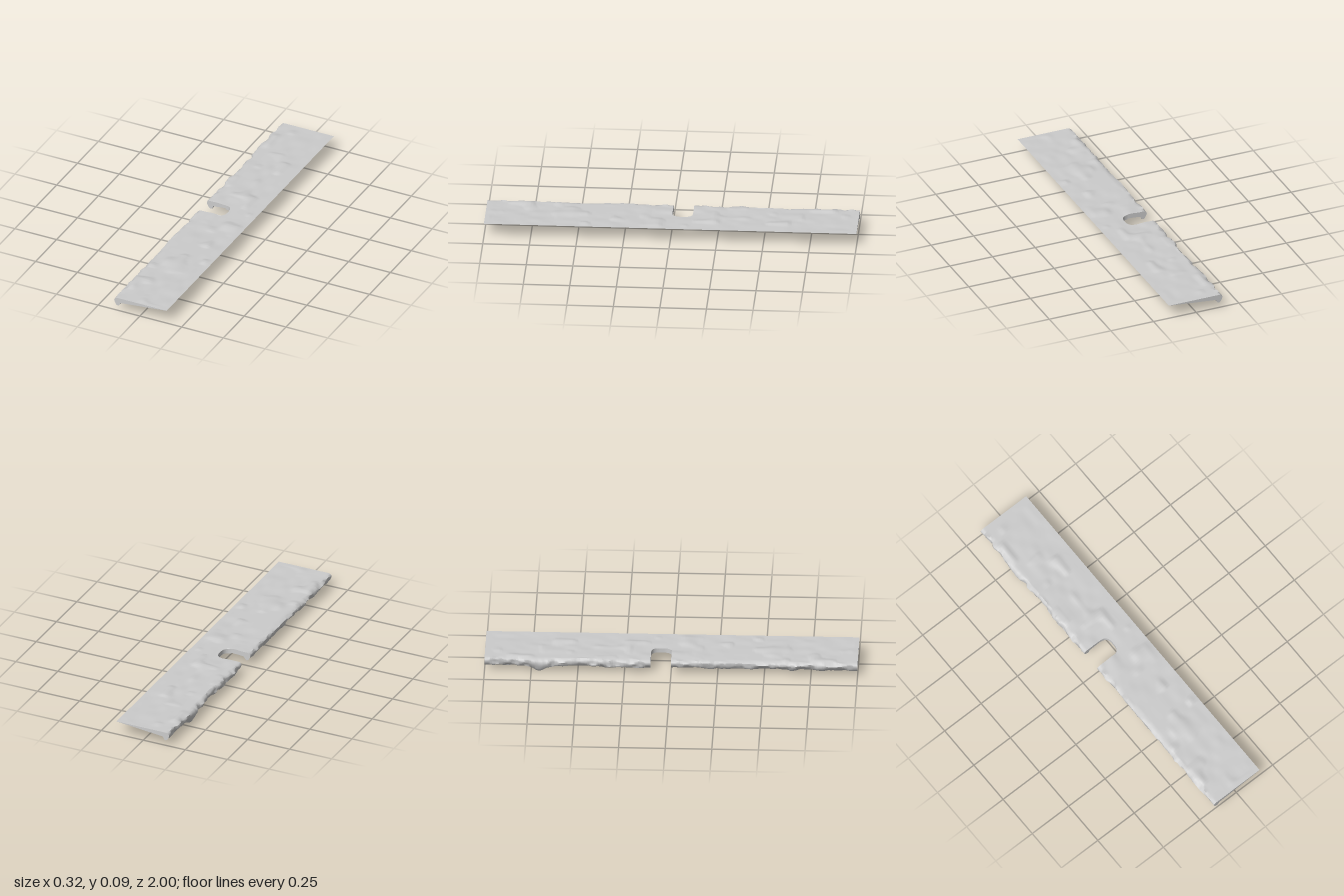
import * as THREE from 'three';
import { toCreasedNormals } from 'three/addons/utils/BufferGeometryUtils.js';

// Smooth repeatable value noise in 2D, range -1..1
const hash = (i, j) => {
  const s = Math.sin(i * 127.1 + j * 311.7) * 43758.5453;
  return (s - Math.floor(s)) * 2 - 1;
};
const ease = t => t * t * (3 - 2 * t);
function noise(x, y) {
  const i = Math.floor(x), j = Math.floor(y), u = ease(x - i), v = ease(y - j);
  const mix = THREE.MathUtils.lerp;
  return mix(mix(hash(i, j), hash(i + 1, j), u), mix(hash(i, j + 1), hash(i + 1, j + 1), u), v);
}

const EDGE = 0.16, TOP = 0.08, NOTCH_BACK = -0.11, NOTCH_FRONT = 0;
const bottomAt = x => 0.053 + (x + 0.115) / (EDGE + 0.115) * (TOP - 0.053);
const fade = z => THREE.MathUtils.smoothstep(1 - Math.abs(z), 0, 0.06);

// Worn upper face: mostly level, with scattered raised lumps
function topAt(x, z) {
  const side = THREE.MathUtils.smoothstep(EDGE - x, 0, 0.05);
  const lumps = Math.max(0, noise(x * 17 + 5, z * 13) - 0.35) * 0.013;
  return TOP + fade(z) * side * (lumps + 0.0022 * noise(x * 22, z * 15 + 9));
}

// Inner edge of the rounded notch at depth z
function notchEdge(z) {
  const mid = (NOTCH_BACK + NOTCH_FRONT) / 2, half = (NOTCH_FRONT - NOTCH_BACK) / 2;
  const t = Math.min(1, Math.abs(z - mid) / half);
  return -0.042 + 0.042 * Math.pow(1 - t ** 3, 1 / 2.2);
}

// Hooked section: upper face, rough drooping lip, sloping underside
const LIP = [[-0.142, 0.079], [-0.151, 0.073], [-0.154, 0.064], [-0.151, 0.054], [-0.147, 0.045],
  [-0.141, 0.037], [-0.132, 0.033], [-0.124, 0.037], [-0.120, 0.045]];
function fullSection(z) {
  const pts = [];
  for (let k = 0; k <= 22; k++) {
    const x = EDGE - k / 22 * (EDGE + 0.13);
    pts.push([x, topAt(x, z)]);
  }
  const near = Math.min(Math.abs(z - NOTCH_BACK), Math.abs(z - NOTCH_FRONT));
  const f = fade(z) * THREE.MathUtils.smoothstep(near, -0.02, 0.05);
  const rough = z < 0 ? 1.25 : 0.85;
  const droop = 0.026 * Math.exp(-(((z + 0.71) / 0.04) ** 2));
  LIP.forEach(([x, y], k) => {
    const outer = k < 6 ? 1 : 0.3;
    const low = THREE.MathUtils.clamp((0.075 - y) / 0.04, 0, 1);
    const out = 0.008 * noise(k * 0.45, z * 24 + 3) + 0.003 * noise(k * 0.8, z * 55);
    const drop = 0.008 * noise(2.5, z * 20) + 0.003 * noise(7.5, z * 45);
    const dx = THREE.MathUtils.clamp(out * f * rough * outer, -0.011, 0.008);
    pts.push([x + dx, y + low * (f * drop - droop) + (1 - low) * f * 0.004 * noise(k, z * 22)]);
  });
  for (let k = 0; k < 14; k++) {
    const x = -0.115 + k / 14 * (EDGE + 0.115);
    const wear = Math.max(0, noise(x * 20, z * 12 + 40) - 0.55) * 0.006;
    pts.push([x, bottomAt(x) - fade(z) * wear * (1 - k / 14)]);
  }
  return pts;
}

// Plain section between the notch wall and the thin edge
function notchSection(z) {
  const left = notchEdge(z), pts = [];
  for (let k = 0; k <= 14; k++) {
    const x = EDGE + (left - EDGE) * k / 14;
    pts.push([x, topAt(x, z)]);
  }
  for (let k = 0; k < 10; k++) {
    const x = left + (EDGE - left) * k / 10;
    pts.push([x, bottomAt(x)]);
  }
  return pts;
}

// Join sections along z and optionally close both ends
function sweep(section, z0, z1, steps, capped, crease) {
  const pos = [], idx = [], rings = [];
  for (let i = 0; i <= steps; i++) {
    const z = z0 + (z1 - z0) * i / steps;
    rings.push(section(z));
    rings[i].forEach(([x, y]) => pos.push(x, y, z));
  }
  const n = rings[0].length;
  for (let i = 0; i < steps; i++) {
    for (let j = 0; j < n; j++) {
      const a = i * n + j, b = i * n + (j + 1) % n;
      idx.push(a, b, b + n, a, b + n, a + n);
    }
  }
  if (capped) {
    for (const end of [0, steps]) {
      const outline = rings[end].map(p => new THREE.Vector2(...p));
      for (const [a, b, c] of THREE.ShapeUtils.triangulateShape(outline, [])) {
        const o = end * n;
        if (end) idx.push(a + o, b + o, c + o);
        else idx.push(a, c, b);
      }
    }
  }
  const g = new THREE.BufferGeometry();
  g.setAttribute('position', new THREE.Float32BufferAttribute(pos, 3));
  g.setIndex(idx);
  return toCreasedNormals(g, crease);
}

// Thin wall lining the rounded end of the notch, reaching just below the slab
function notchWall() {
  const pos = [], idx = [], steps = 32;
  for (let i = 0; i <= steps; i++) {
    const z = (NOTCH_BACK + NOTCH_FRONT) / 2 - Math.cos(i / steps * Math.PI) * (NOTCH_FRONT - NOTCH_BACK) / 2;
    const x = notchEdge(z);
    pos.push(x, bottomAt(x) + 0.004, z, x, 0.053, z);
    if (i < steps) idx.push(2 * i, 2 * i + 1, 2 * i + 3, 2 * i, 2 * i + 3, 2 * i + 2);
  }
  const g = new THREE.BufferGeometry();
  g.setAttribute('position', new THREE.Float32BufferAttribute(pos, 3));
  g.setIndex(idx);
  g.computeVertexNormals();
  return g;
}

export function createModel() {
  const group = new THREE.Group();
  group.name = 'wornLedge';
  const stone = new THREE.MeshStandardMaterial({ color: 0xcccccc });
  const thin = new THREE.MeshStandardMaterial({ color: 0xcccccc, side: THREE.DoubleSide });
  const add = (name, geometry, material = stone) => {
    const mesh = new THREE.Mesh(geometry, material);
    mesh.name = name;
    group.add(mesh);
  };
  add('frontSlab', sweep(fullSection, NOTCH_FRONT, 1, 150, true, 0.9));
  add('backSlab', sweep(fullSection, -1, NOTCH_BACK, 140, true, 0.9));
  add('notchBridge', sweep(notchSection, NOTCH_BACK, NOTCH_FRONT, 40, false, 0.6));
  add('notchWall', notchWall(), thin);
  return group;
}
